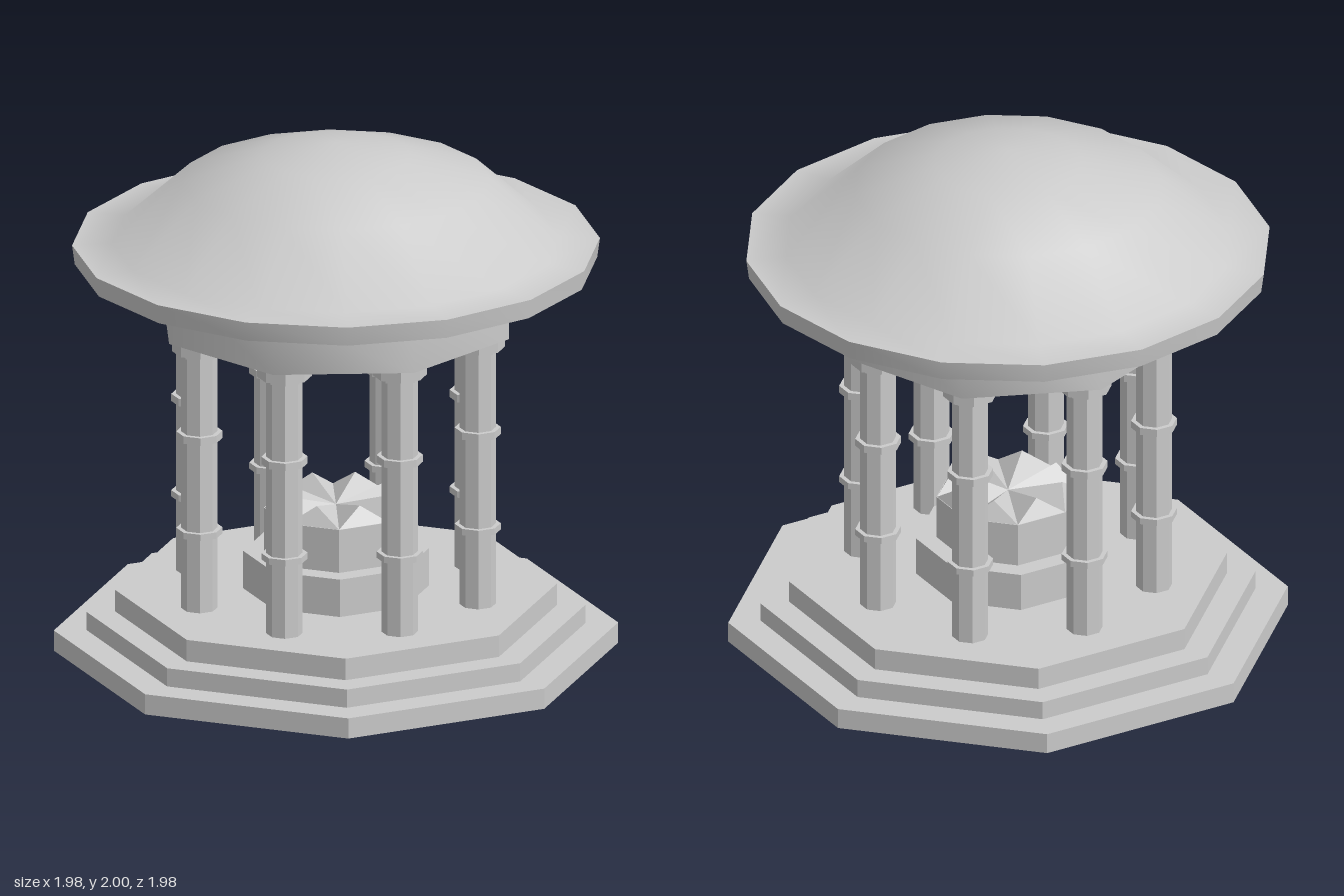
import * as THREE from 'three';
import { toCreasedNormals } from 'three/addons/utils/BufferGeometryUtils.js';

const flat = new THREE.MeshStandardMaterial({ color: 0xcccccc, flatShading: true });
const smooth = new THREE.MeshStandardMaterial({ color: 0xcccccc });
const openSided = new THREE.MeshStandardMaterial({ color: 0xcccccc, flatShading: true, side: THREE.DoubleSide });
const OCT = Math.cos(Math.PI / 8);

function add(parent, name, geometry, material = flat) {
  const mesh = new THREE.Mesh(geometry, material);
  mesh.name = name;
  parent.add(mesh);
  return mesh;
}

// Octagonal slab with flats facing the axes, from y0 to y1
function octagon(apothem, y0, y1) {
  const r = apothem / OCT;
  return new THREE.CylinderGeometry(r, r, y1 - y0, 8)
    .rotateY(Math.PI / 8)
    .translate(0, (y0 + y1) / 2, 0);
}

function lathe(points, sides) {
  return new THREE.LatheGeometry(points.map(([r, y]) => new THREE.Vector2(r, y)), sides);
}

// Eight leaning points around a shallow bowl
function crownGeometry() {
  const at = (r, y, k) => {
    const a = k * Math.PI / 8;
    return [r * Math.sin(a), y, r * Math.cos(a)];
  };
  const positions = [];
  for (let k = 0; k < 16; k += 2) {
    const left = at(0.268, 0.555, k - 1);
    const tip = at(0.21, 0.625, k);
    const right = at(0.268, 0.555, k + 1);
    const centre = [0, 0.565, 0];
    positions.push(...left, ...right, ...tip);
    positions.push(...left, ...tip, ...centre);
    positions.push(...tip, ...right, ...centre);
  }
  const g = new THREE.BufferGeometry();
  g.setAttribute('position', new THREE.Float32BufferAttribute(positions, 3));
  g.computeVertexNormals();
  return g;
}

function createColumn() {
  const column = new THREE.Group();
  column.name = 'column';
  add(column, 'shaft', octagon(0.063, 0.235, 1.26));
  add(column, 'lowerCollar', octagon(0.08, 0.53, 0.555));
  add(column, 'upperCollar', octagon(0.08, 0.908, 0.937));
  add(column, 'capitalNeck', octagon(0.072, 1.24, 1.26));
  add(column, 'capital', octagon(0.095, 1.255, 1.302));
  return column;
}

export function createModel() {
  const model = new THREE.Group();
  model.name = 'pavilion';

  // Stepped base
  [[0.978, 0, 0.08], [0.865, 0.08, 0.152], [0.765, 0.152, 0.237]].forEach(([r, y0, y1], i) =>
    add(model, `step${i + 1}`, octagon(r, y0, y1)));

  // Central pedestal and its pointed crown
  add(model, 'pedestalBase', octagon(0.322, 0.237, 0.385));
  add(model, 'pedestalTop', octagon(0.25, 0.385, 0.555));
  add(model, 'pedestalCrown', crownGeometry(), openSided);

  // Ring of columns
  for (let i = 0; i < 8; i++) {
    const a = i * Math.PI / 4;
    const column = createColumn();
    column.position.set(0.565 * Math.sin(a), 0, 0.565 * Math.cos(a));
    column.rotation.y = a;
    model.add(column);
  }

  // Octagonal drum carried by the columns, open in the middle
  add(model, 'drum', toCreasedNormals(lathe([[0.46, 1.3], [0.69, 1.3], [0.69, 1.535]], 8), 0.9), smooth);

  // Ceiling dome inside the drum, facing down
  add(model, 'ceiling', lathe([[0, 1.73], [0.16, 1.7], [0.3, 1.61], [0.41, 1.46], [0.46, 1.3]], 8), smooth);

  // Roof with a broad flat rim
  const roof = [[0.6, 1.53], [0.98, 1.53], [0.99, 1.605], [0.84, 1.612], [0.58, 1.85], [0.28, 1.95], [0, 2]];
  add(model, 'roof', toCreasedNormals(lathe(roof, 16), 0.95), smooth);

  return model;
}
